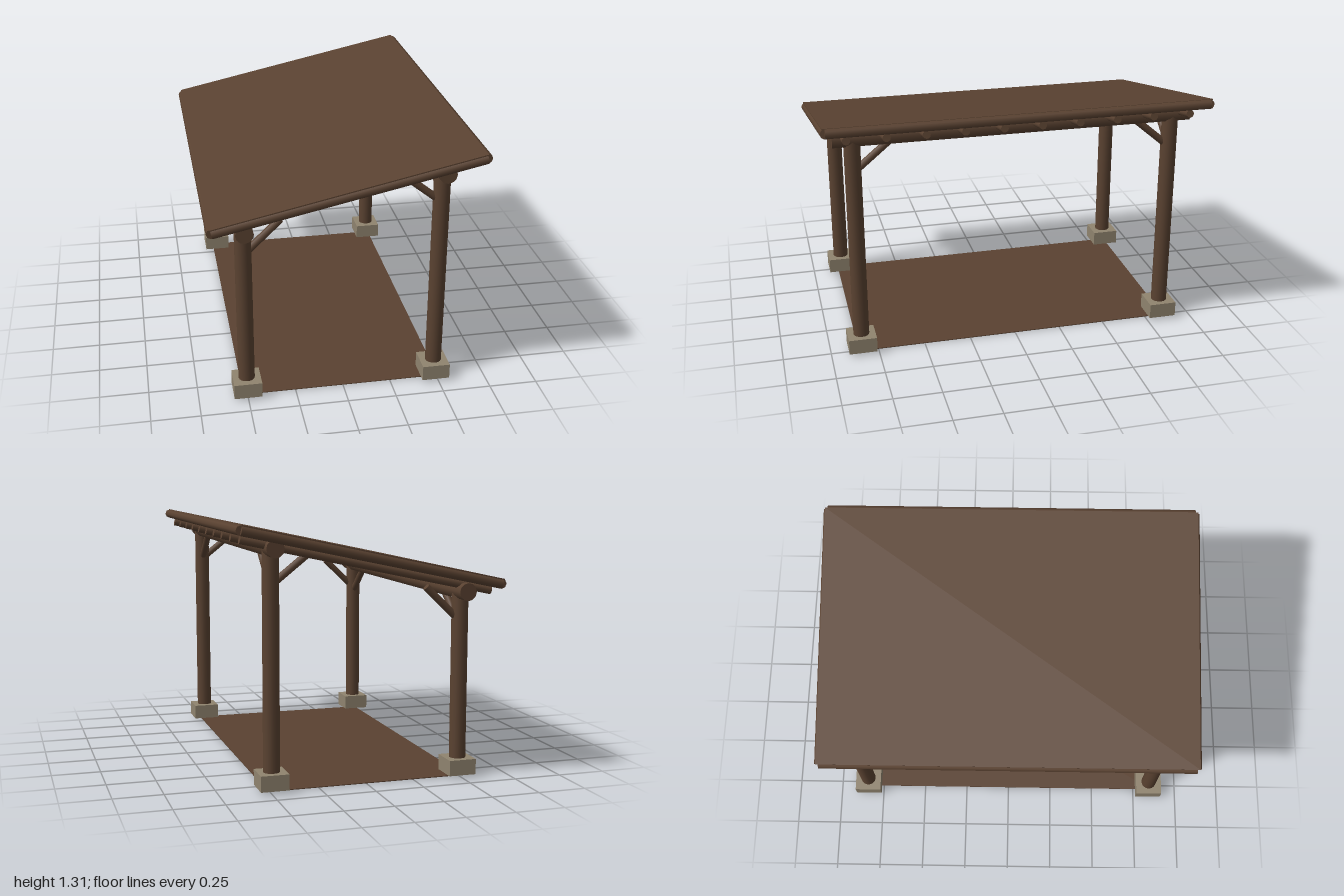
import * as THREE from 'three';

const wood = new THREE.MeshStandardMaterial({ color: 0x5a4231 });
wood.name = 'brown wood';
const stone = new THREE.MeshStandardMaterial({ color: 0x90846f });
stone.name = 'footing stone';

const UP = new THREE.Vector3(0, 1, 0);

export function createModel() {
  const model = new THREE.Group();
  model.name = 'leanToShelter';

  // round timber between two points
  function log(name, a, b, radius, sides = 12) {
    const from = new THREE.Vector3(...a);
    const to = new THREE.Vector3(...b);
    const dir = to.clone().sub(from);
    const mesh = new THREE.Mesh(new THREE.CylinderGeometry(radius, radius, dir.length(), sides), wood);
    mesh.position.copy(from).add(to).multiplyScalar(0.5);
    mesh.quaternion.setFromUnitVectors(UP, dir.normalize());
    mesh.name = name;
    model.add(mesh);
  }

  function box(name, size, position, material) {
    const mesh = new THREE.Mesh(new THREE.BoxGeometry(...size), material);
    mesh.position.set(...position);
    mesh.name = name;
    model.add(mesh);
    return mesh;
  }

  // roof slope: height of the edge trim's centre line at x
  const slope = 0.215;
  const roofY = (x) => 1.138 + slope * x;
  const postZ = 0.835;

  box('floor', [1.03, 0.004, 1.71], [-0.008, 0.002, 0], wood);

  // low side and high side: x, beam height, inward direction, brace foot and head
  const sides = [
    { x: -0.5, beamY: 0.955, inward: 1, foot: 0.8, head: [0.185, 0.977] },
    { x: 0.485, beamY: 1.19, inward: -1, foot: 1.008, head: [0.195, 1.163] },
  ];
  for (const { x, beamY, inward, foot, head } of sides) {
    log('beam', [x, beamY, -0.935], [x, beamY, 0.935], 0.045);
    for (const s of [-1, 1]) {
      const z = s * postZ;
      box('footing', [0.143, 0.08, 0.147], [x, 0.055, z], stone);
      log('post', [x, 0.05, z], [x, beamY, z], 0.042, 16);
      // one brace across the slope, one along the beam
      log('crossBrace', [x, foot, z], [x + inward * head[0], head[1], z], 0.019);
      log('beamBrace', [x, beamY - 0.185, z], [x, beamY - 0.005, s * 0.62], 0.019);
    }
  }

  // rafters under the roof
  for (let i = 0; i < 10; i++) {
    const z = (i - 4.5) * 0.195;
    log('rafter', [-0.645, roofY(-0.645) - 0.045, z], [0.645, roofY(0.645) - 0.045, z], 0.02);
  }

  // roof edge trim
  for (const s of [-1, 1]) {
    log('sideTrim', [-0.66, roofY(-0.66), s * 0.975], [0.66, roofY(0.66), s * 0.975], 0.025, 12);
    log('eaveTrim', [s * 0.66, roofY(s * 0.66), -0.977], [s * 0.66, roofY(s * 0.66), 0.977], 0.025, 8);
  }

  // sloping roof sheet resting on the trim
  const sheet = box('roofSheet', [1.36, 0.006, 1.98], [-0.005, roofY(0) + 0.023, 0], wood);
  sheet.rotation.z = Math.atan(slope);

  return model;
}
